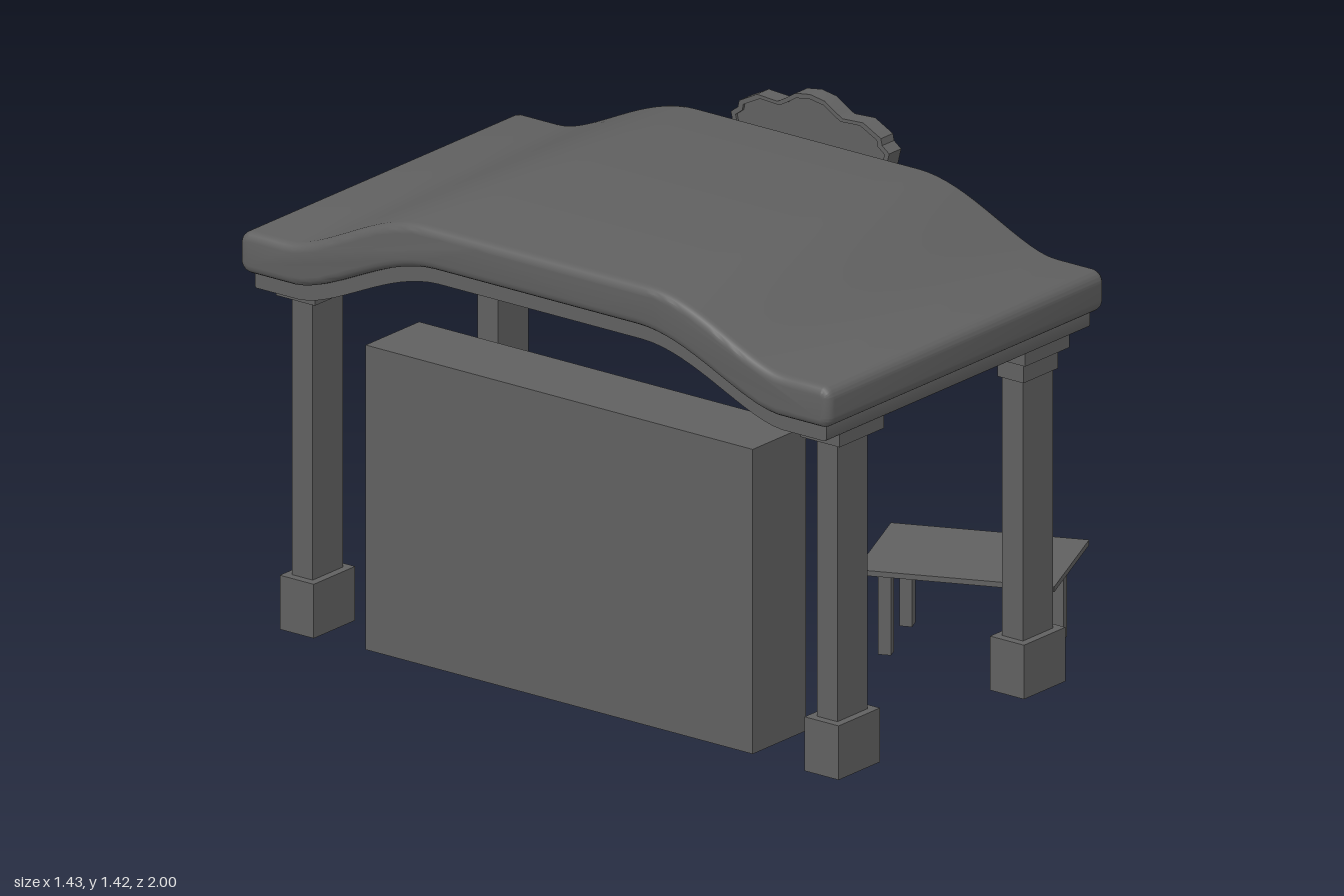
import * as THREE from 'three';
import { toCreasedNormals } from 'three/addons/utils/BufferGeometryUtils.js';

const grey = new THREE.MeshStandardMaterial({ color: 0x606060 });
grey.name = 'charcoal grey';

function add(parent, name, geometry, x = 0, y = 0, z = 0) {
  const mesh = new THREE.Mesh(geometry, grey);
  mesh.name = name;
  mesh.position.set(x, y, z);
  parent.add(mesh);
  return mesh;
}

// Box given by its x and z size and its bottom and top heights
function block(parent, name, x, z, w, d, y0, y1) {
  return add(parent, name, new THREE.BoxGeometry(w, y1 - y0, d), x, (y0 + y1) / 2, z);
}

// Extrude a (z, y) outline along x, from x0 to x1, with an optional rounded rim
function extrudeX(shape, x0, x1, bevel = 0) {
  const g = new THREE.ExtrudeGeometry(shape, {
    depth: x1 - x0 - 2 * bevel, bevelEnabled: bevel > 0, bevelThickness: bevel,
    bevelSize: bevel, bevelOffset: -bevel, bevelSegments: 4, curveSegments: 8,
  });
  g.rotateY(Math.PI / 2);
  g.translate(x0 + bevel, 0, 0);
  return toCreasedNormals(g, 0.6);
}

// Height of the roof's arch above its eaves
function arch(z, outer, inner) {
  const t = THREE.MathUtils.clamp((outer - Math.abs(z)) / (outer - inner), 0, 1);
  return 0.15 * THREE.MathUtils.smoothstep(Math.pow(t, 0.88), 0, 1);
}

// Wavy slab outline with rounded ends
function slabShape(end, low, high, r) {
  const s = new THREE.Shape();
  const n = 56, reach = 0.88;
  s.moveTo(-end + r, low);
  for (let i = 0; i <= n; i++) {
    const z = -reach + (2 * reach * i) / n;
    s.lineTo(z, low + arch(z, 0.82, 0.34));
  }
  s.lineTo(end - r, low);
  s.absarc(end - r, low + r, r, -Math.PI / 2, 0, false);
  s.lineTo(end, high - r);
  s.absarc(end - r, high - r, r, 0, Math.PI / 2, false);
  for (let i = n; i >= 0; i--) {
    const z = -reach + (2 * reach * i) / n;
    s.lineTo(z, high + arch(z, 0.84, 0.38));
  }
  s.lineTo(-end + r, high);
  s.absarc(-end + r, high - r, r, Math.PI / 2, Math.PI, false);
  s.lineTo(-end, low + r);
  s.absarc(-end + r, low + r, r, Math.PI, Math.PI * 1.5, false);
  return s;
}

function rectPath(z0, z1, y0, y1, Type = THREE.Path) {
  return new Type([[z0, y0], [z1, y0], [z1, y1], [z0, y1]].map(p => new THREE.Vector2(...p)));
}

function makeColumn(x, z, front) {
  const g = new THREE.Group();
  g.name = front ? 'frontColumn' : 'backColumn';
  block(g, 'columnBase', x, z, 0.178, 0.115, 0, 0.153);
  block(g, 'columnShaft', x, z, 0.13, 0.07, 0.15, 0.95);
  if (front) block(g, 'columnCollar', x, z, 0.148, 0.088, 0.887, 0.946);
  block(g, 'columnCap', x, z, 0.19, 0.132, 0.945, 0.987);
  return g;
}

// Shelving cabinet with three open bays facing +x
function makeShelves() {
  const g = new THREE.Group();
  g.name = 'shelves';
  const face = rectPath(-0.655, 0.655, 0.008, 0.87, THREE.Shape);
  for (const [y0, y1] of [[0.315, 0.42], [0.465, 0.62], [0.67, 0.825]])
    face.holes.push(rectPath(-0.607, 0.607, y0, y1));
  add(g, 'shelfFrame', extrudeX(face, -0.54, -0.38));
  block(g, 'shelfBack', -0.575, 0, 0.07, 1.31, 0.008, 0.87);
  return g;
}

function makeTable(x, z, angle, length, width) {
  const g = new THREE.Group();
  g.name = 'table';
  block(g, 'tableTop', 0, 0, width, length, 0.251, 0.266);
  for (const sx of [-1, 1]) for (const sz of [-1, 1])
    block(g, 'tableLeg', sx * 0.114, sz * 0.208, 0.035, 0.035, 0.01, 0.255);
  g.position.set(x, 0, z);
  g.rotation.y = angle;
  return g;
}

// Ornate blank sign board with a raised rim
function makeSign() {
  const g = new THREE.Group();
  g.name = 'signBoard';
  const half = [
    [0, 1.06], [0.05, 1.067], [0.1, 1.092], [0.165, 1.108], [0.245, 1.093], [0.236, 1.145],
    [0.245, 1.22], [0.268, 1.31], [0.244, 1.328], [0.24, 1.347], [0.18, 1.378],
    [0.11, 1.374], [0.085, 1.388], [0.05, 1.41], [0, 1.418],
  ];
  const outline = [...half, ...half.slice(1, -1).reverse().map(([z, y]) => [-z, y])];
  const points = (sz, sy) => outline.map(([z, y]) => new THREE.Vector2(z * sz, 1.24 + (y - 1.24) * sy));
  add(g, 'signPanel', extrudeX(new THREE.Shape(points(0.97, 0.97)), 0.475, 0.51));
  const rim = new THREE.Shape(points(1, 1));
  rim.holes.push(new THREE.Path(points(0.94, 0.925)));
  add(g, 'signRim', extrudeX(rim, 0.468, 0.52));
  return g;
}

export function createModel() {
  const model = new THREE.Group();
  model.name = 'marketStall';

  // Arched roof on a thinner trim layer
  add(model, 'roof', extrudeX(slabShape(1, 1.03, 1.148, 0.035), -0.72, 0.47, 0.025));
  add(model, 'roofTrim', extrudeX(slabShape(0.967, 0.985, 1.045, 0.008), -0.69, 0.443));

  for (const z of [-0.888, 0.888]) {
    model.add(makeColumn(-0.521, z, false));
    model.add(makeColumn(0.276, z, true));
  }

  model.add(makeShelves());
  model.add(makeSign());
  model.add(makeTable(0.411, 0.595, 0.418, 0.544, 0.377));
  model.add(makeTable(0.417, -0.625, -0.527, 0.55, 0.355));
  return model;
}
